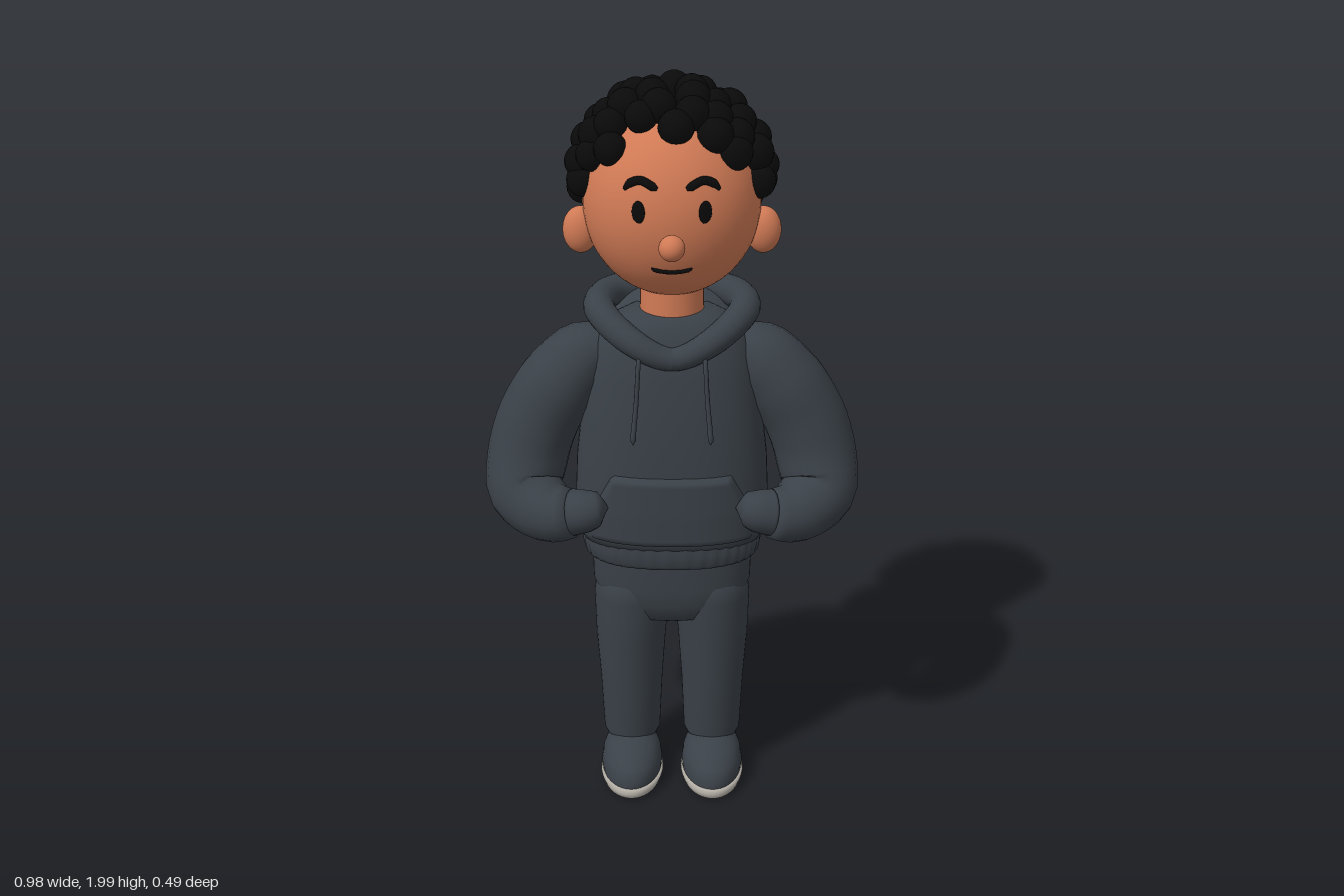
import * as THREE from 'three';

const material = (name, color) => {
  const m = new THREE.MeshStandardMaterial({ color });
  m.name = name;
  return m;
};

// Skin a list of equal-length closed loops, bottom to top
function skin(loops) {
  const n = loops[0].length, index = [];
  for (let i = 0; i < loops.length - 1; i++) {
    for (let j = 0; j < n; j++) {
      const a = i * n + j, b = i * n + (j + 1) % n;
      index.push(a, a + n, b, b, a + n, b + n);
    }
  }
  const g = new THREE.BufferGeometry().setFromPoints(loops.flat());
  g.setIndex(index);
  g.computeVertexNormals();
  return g;
}

// Stack of rounded rings [y, rx, rz, x, z]; power > 2 squares them off
function stack(rings, power = 2, n = 40, ripple = 0) {
  const bend = (v) => Math.sign(v) * Math.abs(v) ** (2 / power);
  return skin(rings.map(([y, rx, rz, x = 0, z = 0]) => Array.from({ length: n }, (_, j) => {
    const a = (j / n) * Math.PI * 2, k = 1 + ripple * Math.sin(a * n / 4);
    return new THREE.Vector3(x + rx * k * bend(Math.cos(a)), y, z + rz * k * bend(Math.sin(a)));
  })));
}

// Round tube of varying radius through points [x, y, z, r]
function sweep(points, steps, n = 16, closed = false) {
  const curve = new THREE.CatmullRomCurve3(points.map((p) => new THREE.Vector3(p[0], p[1], p[2])), closed);
  const frames = curve.computeFrenetFrames(steps, closed);
  const count = closed ? points.length : points.length - 1;
  const loops = [];
  for (let i = 0; i <= steps; i++) {
    const t = curve.getUtoTmapping(i / steps) * count;
    const k = Math.min(Math.floor(t), count - 1);
    const r = THREE.MathUtils.lerp(points[k][3], points[(k + 1) % points.length][3], t - k);
    const c = curve.getPointAt(i / steps);
    loops.push(Array.from({ length: n }, (_, j) => {
      const a = (j / n) * Math.PI * 2;
      return c.clone().addScaledVector(frames.normals[i], r * Math.cos(a))
        .addScaledVector(frames.binormals[i], -r * Math.sin(a));
    }));
  }
  return skin(loops);
}

const TORSO = [
  [0.75, 0.2, 0.11], [0.765, 0.24, 0.135], [0.79, 0.252, 0.145], [0.88, 0.256, 0.149], [1.0, 0.25, 0.149],
  [1.12, 0.236, 0.144], [1.24, 0.22, 0.132], [1.32, 0.2, 0.118], [1.37, 0.17, 0.1], [1.4, 0.11, 0.075], [1.405, 0, 0],
];
const TORSO_POWER = 2.3;

// Depth of the chest at a given x and y
function chestZ(x, y) {
  const i = Math.max(1, TORSO.findIndex((r) => r[0] >= y));
  const [a, b] = [TORSO[i - 1], TORSO[i]], t = (y - a[0]) / (b[0] - a[0]);
  const rx = THREE.MathUtils.lerp(a[1], b[1], t), rz = THREE.MathUtils.lerp(a[2], b[2], t);
  return rz * Math.max(0, 1 - Math.abs(x / rx) ** TORSO_POWER) ** (1 / TORSO_POWER);
}

const HEAD = { y: 1.68, z: -0.005, rx: 0.222, ry: 0.237, rz: 0.198 };
const faceZ = (x, y) => HEAD.z + HEAD.rz * Math.sqrt(1 - (x / HEAD.rx) ** 2 - ((y - HEAD.y) / HEAD.ry) ** 2);

export function createModel() {
  const model = new THREE.Group();
  model.name = 'figure';
  const skinTone = material('skin', 0xd07a55);
  const black = material('hairBlack', 0x0a0a0b);
  const cloth = material('charcoalCloth', 0x3a4148);
  const rubber = material('soleGrey', 0xb8b3aa);

  const add = (name, geometry, mat, parent = model) => {
    const mesh = new THREE.Mesh(geometry, mat);
    mesh.name = name;
    parent.add(mesh);
    return mesh;
  };
  const ball = (name, mat, [x, y, z], [rx, ry, rz], parent = model, w = 32, h = 24) => {
    const mesh = add(name, new THREE.SphereGeometry(1, w, h), mat, parent);
    mesh.position.set(x, y, z);
    mesh.scale.set(rx, ry, rz);
    return mesh;
  };

  // Head
  ball('head', skinTone, [0, HEAD.y, HEAD.z], [HEAD.rx, HEAD.ry, HEAD.rz], model, 48, 32);
  ball('nose', skinTone, [0, 1.63, 0.215], [0.032, 0.032, 0.032]);
  add('neck', new THREE.CylinderGeometry(0.08, 0.084, 0.22, 32), skinTone).position.set(0, 1.4, -0.01);
  const onFace = (pts, r) => pts.map(([x, y], i) => [x, y, faceZ(x, y), i % (pts.length - 1) ? r : r * 0.4]);
  add('mouth', sweep(onFace([[-0.05, 1.562], [-0.04, 1.557], [0, 1.552], [0.04, 1.557], [0.05, 1.562]], 0.006), 16, 8), black);

  for (const s of [1, -1]) {
    const side = s > 0 ? 'left' : 'right';
    ball(side + 'Ear', skinTone, [s * 0.228, 1.61, 0.005], [0.045, 0.06, 0.037]);
    const eye = ball(side + 'Eye', black, [s * 0.08, 1.708, faceZ(0.08, 1.708)], [0.017, 0.028, 0.005]);
    eye.rotation.y = s * 0.4;
    const brow = [[0.034, 1.764], [0.045, 1.769], [0.075, 1.781], [0.1, 1.772], [0.114, 1.757]];
    add(side + 'Eyebrow', sweep(onFace(brow.map(([x, y]) => [s * x, y]), 0.011), 14, 8), black);
  }

  // Curls scattered evenly above a slanting hairline
  const hair = new THREE.Group();
  hair.name = 'hair';
  model.add(hair);
  let seed = 11;
  const rand = () => (seed = (seed * 16807) % 2147483647) / 2147483647;
  const total = 128;
  for (let i = 0; i < total; i++) {
    const v = 1 - (2 * (i + 0.5)) / total + (rand() - 0.5) * 0.03;
    const a = i * 2.39996 + (rand() - 0.5) * 0.22;
    const w = Math.sqrt(Math.max(0, 1 - v * v));
    const r = 0.039 + rand() * 0.008;
    const x = 0.225 * w * Math.cos(a), z = -0.028 + 0.175 * w * Math.sin(a);
    const y = 1.74 + v * (v > 0 ? 0.215 : 0.28);
    if (y < 1.69 + z * (z > 0 ? 1.6 : 0.5)) continue;
    ball('curl', black, [x, y, z], [r, r, r], hair, 16, 12);
  }

  // Hooded top
  add('torso', stack(TORSO, TORSO_POWER, 48), cloth);
  add('hem', stack([
    [0.705, 0.19, 0.1], [0.708, 0.222, 0.128], [0.72, 0.232, 0.136], [0.75, 0.238, 0.139], [0.775, 0.235, 0.136],
  ], TORSO_POWER, 160, 0.008), cloth);

  const pocket = new THREE.PlaneGeometry(2, 1, 32, 16);
  const pos = pocket.attributes.position;
  for (let i = 0; i < pos.count; i++) {
    const u = pos.getX(i), v = pos.getY(i) + 0.5;
    const edge = Math.abs(u) > 0.99 || v < 0.01 || v > 0.99;
    const half = v < 0.4 ? 0.218 : THREE.MathUtils.lerp(0.218, 0.155, (v - 0.4) / 0.6);
    const x = u * half, y = 0.782 + v * 0.208;
    pos.setXYZ(i, x, y, chestZ(x, y) + (edge ? -0.008 : 0.016));
  }
  pocket.computeVertexNormals();
  add('frontPocket', pocket, cloth);

  // Hood folded down behind the neck
  const rim = [[0.1, 1.345, 0.1, 0.035], [0.185, 1.403, 0.01, 0.04], [0.15, 1.412, -0.1, 0.04]];
  const mirrored = rim.map(([x, y, z, r]) => [-x, y, z, r]).reverse();
  add('hoodCollar', sweep([[0, 1.305, 0.115, 0.03], ...rim, [0, 1.415, -0.145, 0.038], ...mirrored], 72, 16, true), cloth);
  ball('hoodBack', cloth, [0, 1.325, -0.1], [0.178, 0.11, 0.1]).rotation.x = 0.15;

  // Hips
  add('hips', stack([
    [0.5, 0, 0], [0.505, 0.06, 0.05], [0.53, 0.14, 0.09], [0.58, 0.197, 0.107], [0.63, 0.213, 0.112], [0.72, 0.215, 0.114],
  ], 2.3), cloth);

  for (const s of [1, -1]) {
    const side = s > 0 ? 'left' : 'right';
    // Arm bent at the elbow with the hand tucked in the pocket
    add(side + 'Sleeve', sweep([
      [0.15, 1.3, -0.01, 0.05], [0.225, 1.27, -0.008, 0.09], [0.295, 1.19, -0.005, 0.105], [0.35, 1.09, -0.005, 0.108],
      [0.38, 0.99, 0.01, 0.107], [0.385, 0.91, 0.05, 0.1], [0.315, 0.875, 0.115, 0.082], [0.245, 0.885, 0.143, 0.06],
      [0.235, 0.886, 0.145, 0],
    ].map(([x, y, z, r]) => [s * x, y, z, r]), 30, 20), cloth);
    add(side + 'Cuff', sweep([
      [0.26, 0.886, 0.138, 0.04], [0.255, 0.887, 0.14, 0.062], [0.22, 0.895, 0.148, 0.056], [0.19, 0.9, 0.145, 0.045],
      [0.165, 0.9, 0.14, 0],
    ].map(([x, y, z, r]) => [s * x, y, z, r]), 16, 20), cloth);

    // Drawstring hanging from the collar
    add(side + 'Drawstring', sweep([
      [0.08, 1.33, 0.118, 0.006], [0.084, 1.3, 0.136, 0.006], [0.09, 1.2, 0.143, 0.006], [0.098, 1.11, 0.152, 0.007],
      [0.099, 1.085, 0.153, 0.007], [0.099, 1.083, 0.153, 0],
    ].map(([x, y, z, r]) => [s * x, y, z, r]), 20, 8), cloth);

    // Leg and shoe
    const x = s * 0.113;
    add(side + 'Leg', stack([
      [0.115, 0.05, 0.05, x, -0.015], [0.118, 0.072, 0.073, x, -0.015], [0.135, 0.079, 0.08, x, -0.015],
      [0.3, 0.086, 0.088, x, -0.01], [0.45, 0.096, 0.1, x, -0.007], [0.58, 0.104, 0.106, s * 0.108, -0.004],
      [0.63, 0.1, 0.103, s * 0.105, -0.003], [0.68, 0.07, 0.07, s * 0.1, 0],
    ]), cloth);
    add(side + 'Shoe', stack([
      [0.03, 0.082, 0.136, x, 0.045], [0.06, 0.085, 0.14, x, 0.045], [0.09, 0.08, 0.128, x, 0.04],
      [0.115, 0.068, 0.1, x, 0.025], [0.135, 0.045, 0.062, x, 0.015], [0.143, 0, 0, x, 0.01],
    ]), cloth);
    add(side + 'Sole', stack([
      [0.005, 0, 0, x, 0.045], [0.005, 0.07, 0.125, x, 0.045], [0.013, 0.083, 0.14, x, 0.045],
      [0.028, 0.088, 0.145, x, 0.045], [0.042, 0.085, 0.141, x, 0.045], [0.044, 0, 0, x, 0.045],
    ]), rubber);
  }
  return model;
}
